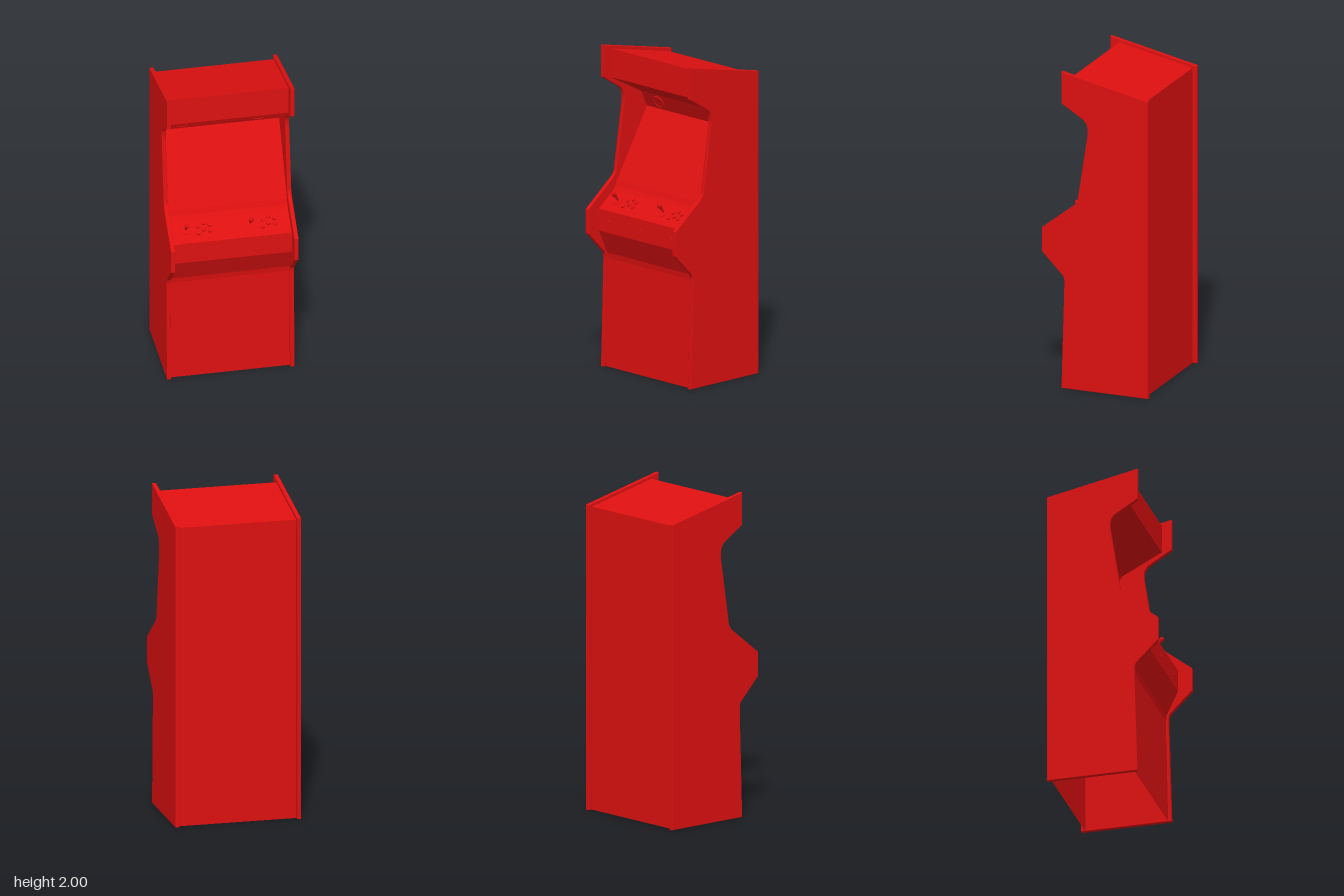
import * as THREE from 'three';

const HALF = 0.365;   // half width between the side panels
const THICK = 0.026;  // side panel thickness
const BEVEL = 0.003;

const red = new THREE.MeshStandardMaterial({ color: 0xdd1010 });
const redSheet = new THREE.MeshStandardMaterial({ color: 0xdd1010, side: THREE.DoubleSide });

function add(parent, name, geometry, material = red) {
  const mesh = new THREE.Mesh(geometry, material);
  mesh.name = name;
  parent.add(mesh);
  return mesh;
}

// Side panel silhouette, drawn with x = -z
function sideGeometry() {
  const s = new THREE.Shape();
  s.moveTo(-0.22, 0);
  s.lineTo(0.345, 0);
  s.lineTo(0.345, 1.88);
  s.lineTo(-0.22, 2);
  s.lineTo(-0.22, 1.8);
  s.lineTo(-0.085, 1.717);
  s.quadraticCurveTo(-0.04, 1.69, -0.05, 1.615);
  s.lineTo(-0.113, 1.21);
  s.quadraticCurveTo(-0.118, 1.182, -0.145, 1.16);
  s.lineTo(-0.348, 1.0);
  s.lineTo(-0.348, 0.85);
  s.lineTo(-0.215, 0.715);
  s.quadraticCurveTo(-0.2, 0.7, -0.201, 0.66);
  s.closePath();
  const g = new THREE.ExtrudeGeometry(s, {
    depth: THICK - 2 * BEVEL, curveSegments: 8,
    bevelSize: BEVEL, bevelThickness: BEVEL, bevelOffset: -BEVEL, bevelSegments: 2,
  });
  g.translate(0, 0, BEVEL);
  g.rotateY(Math.PI / 2);
  return g;
}

// Flat sheets spanning the cabinet, following [z, y] points from front to back
function sheetGeometry(points) {
  const pos = [];
  for (let i = 0; i < points.length - 1; i++) {
    const [z0, y0] = points[i], [z1, y1] = points[i + 1];
    pos.push(-HALF, y0, z0, HALF, y0, z0, HALF, y1, z1);
    pos.push(-HALF, y0, z0, HALF, y1, z1, -HALF, y1, z1);
  }
  const g = new THREE.BufferGeometry();
  g.setAttribute('position', new THREE.Float32BufferAttribute(pos, 3));
  g.computeVertexNormals();
  return g;
}

export function createModel() {
  const cabinet = new THREE.Group();
  cabinet.name = 'arcadeCabinet';

  const side = sideGeometry();
  add(cabinet, 'leftSidePanel', side).position.x = HALF;
  add(cabinet, 'rightSidePanel', side).position.x = -HALF - THICK;

  // Shell between the sides, open underneath
  const deckFront = [0.262, 0.992], deckBack = [0.145, 1.083];
  const screenTop = [-0.14, 1.56], speakerTop = [-0.09, 1.66];
  const sheets = {
    lowerFront: [[0.2, 0], [0.185, 0.67], [0.19, 0.705]],
    controlUnderside: [[0.19, 0.705], [0.262, 0.855]],
    controlFront: [[0.262, 0.855], deckFront],
    controlDeck: [deckFront, deckBack],
    screen: [deckBack, [0.125, 1.108], [0.11, 1.14], screenTop],
    speakerPanel: [screenTop, speakerTop],
    marqueeUnderside: [speakerTop, [0.16, 1.79]],
    marquee: [[0.16, 1.79], [0.16, 1.968]],
    topPanel: [[0.16, 1.968], [-0.318, 1.866]],
    backPanel: [[-0.318, 1.866], [-0.318, 0]],
  };
  for (const [name, points] of Object.entries(sheets)) {
    add(cabinet, name, sheetGeometry(points), redSheet);
  }

  // Controls stand on the sloping deck: local y is the deck normal
  const slope = Math.atan2(deckBack[1] - deckFront[1], deckFront[0] - deckBack[0]);
  const onDeck = (name, x, z) => {
    const g = new THREE.Group();
    g.name = name;
    g.position.set(x, deckFront[1] + (deckFront[0] - z) * Math.tan(slope), z);
    g.rotation.x = slope;
    cabinet.add(g);
    return g;
  };

  const disc = new THREE.CylinderGeometry(0.033, 0.033, 0.004, 32);
  const stick = new THREE.LatheGeometry([
    [0.006, 0], [0.007, 0.025], [0.014, 0.055], [0.0145, 0.063], [0.011, 0.072], [0, 0.076],
  ].map(([r, y]) => new THREE.Vector2(r, y)), 24);
  const button = new THREE.CylinderGeometry(0.011, 0.013, 0.012, 20);
  const buttonSpots = [
    [0.077, 0.183], [0.113, 0.168], [0.148, 0.18],
    [0.073, 0.217], [0.109, 0.201], [0.146, 0.209],
  ];
  for (const x of [-0.271, 0.125]) {
    const joystick = onDeck('joystick', x, 0.19);
    add(joystick, 'joystickBase', disc).position.y = 0.001;
    add(joystick, 'joystickHandle', stick);
    for (const [dx, z] of buttonSpots) {
      add(onDeck('actionButton', x + dx, z), 'buttonCap', button).position.y = 0.004;
    }
  }

  // Small round buttons on the front of the control box
  const startButton = new THREE.CylinderGeometry(0.011, 0.013, 0.01, 20).rotateX(Math.PI / 2);
  for (const x of [-0.278, 0, 0.264]) {
    add(cabinet, 'startButton', startButton).position.set(x, 0.92, 0.263);
  }

  // Round speakers below the marquee
  const tilt = Math.atan2(speakerTop[0] - screenTop[0], speakerTop[1] - screenTop[1]);
  for (const x of [-0.235, 0.235]) {
    const speaker = new THREE.Group();
    speaker.name = 'speaker';
    speaker.position.set(x, 1.61, -0.115);
    speaker.rotation.x = tilt;
    add(speaker, 'speakerRim', new THREE.TorusGeometry(0.039, 0.006, 8, 36));
    add(speaker, 'speakerCone', new THREE.CircleGeometry(0.036, 32)).position.z = 0.002;
    cabinet.add(speaker);
  }

  return cabinet;
}
